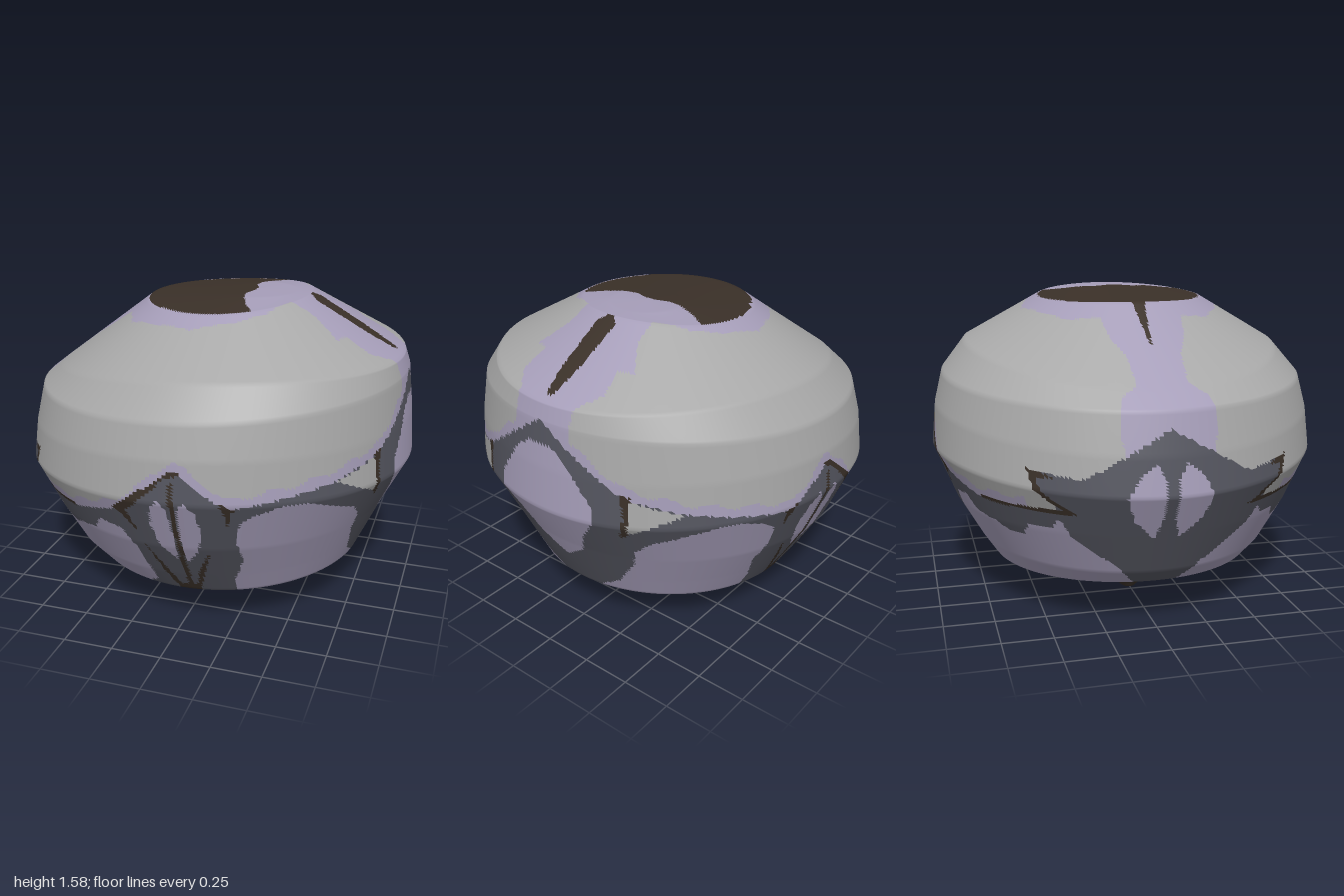
import * as THREE from 'three';

const mat = (name, color) => {
  const m = new THREE.MeshStandardMaterial({ color });
  m.name = name;
  return m;
};
const grey = mat('light grey', 0xa8a8a8);
const lavender = mat('lavender', 0xa59db8);
const slate = mat('slate', 0x54555f);
const brown = mat('dark brown', 0x3a3028);

// Tilted rings from bottom to top: [xLeft, yLeft, xRight, yRight, zHalf, ySide]
const RINGS = [
  [-0.185, 0, -0.185, 0, 0, 0],
  [-0.22, 0, -0.15, 0, 0.035, 0],
  [-0.24, 0.03, -0.13, 0.025, 0.06, 0.02],
  [-0.4, 0.1, 0.4, 0.09, 0.4, 0.085],
  [-0.7, 0.22, 0.75, 0.25, 0.69, 0.21],
  [-0.79, 0.3, 0.8, 0.36, 0.765, 0.33],
  [-0.9, 0.52, 0.885, 0.55, 0.88, 0.53],
  [-1, 0.72, 1, 0.78, 0.99, 0.8],
  [-0.975, 0.9, 0.985, 1.0, 0.97, 1.0],
  [-0.93, 1.1, 0.96, 1.22, 0.93, 1.16],
  [-0.84, 1.17, 0.935, 1.3, 0.81, 1.31],
  [-0.37, 1.525, 0.46, 1.57, 0.43, 1.53],
  [0.03, 1.56, 0.38, 1.573, 0.18, 1.57],
  [0.2, 1.575, 0.2, 1.575, 0, 1.575],
];

// Seam between the upper shell and the lower shell: [degrees from +x, height]
const SEAM = [[0, 1.23], [25, 0.94], [42, 0.87], [72, 0.79], [86, 0.96], [102, 0.73],
  [121, 0.64], [149, 0.64], [150, 0.78], [158, 0.81], [180, 1.02]];

function seamHeight(a) {
  let i = 0;
  while (i < SEAM.length - 2 && a > SEAM[i + 1][0]) i++;
  const [a0, y0] = SEAM[i], [a1, y1] = SEAM[i + 1];
  return y0 + (y1 - y0) * (a - a0) / (a1 - a0);
}

function inside(u, v, poly) {
  let hit = false;
  for (let i = 0, j = poly.length - 1; i < poly.length; j = i++) {
    const [x1, y1] = poly[i], [x2, y2] = poly[j];
    if ((y1 > v) !== (y2 > v) && u < (x2 - x1) * (v - y1) / (y2 - y1) + x1) hit = !hit;
  }
  return hit;
}

// Each layer is one part; later layers cover earlier ones. All mirror across z.
const layers = [];
const part = (name, material, test) => layers.push({ name, material, test });
const around = (name, m, poly) => part(name, m, p => inside(p.a, p.y, poly));
const front = (name, m, poly) => part(name, m, p => inside(p.x, p.y, poly));
const leftSide = (name, m, poly) => part(name, m, p => p.x > 0 && inside(p.z, p.y, poly));
const rightSide = (name, m, poly) => part(name, m, p => p.x < 0 && inside(p.z, p.y, poly));
const above = (name, m, poly) => part(name, m, p => p.y > p.seam && inside(p.x, p.z, poly));
const below = (name, m, poly) => part(name, m, p => p.y < 0.22 && inside(p.x, p.z, poly));

// Half of a crescent: an outer arc closed by a bitten inner edge
function crescent(cx, r, from, to, bite) {
  const pts = [];
  for (let i = 0; i <= 30; i++) {
    const a = (from + (to - from) * i / 30) * Math.PI / 180;
    pts.push([cx + r * Math.cos(a), r * Math.sin(a)]);
  }
  pts[0][1] = Math.abs(pts[0][1]) < 1e-6 ? -0.02 : pts[0][1];
  return pts.concat(bite);
}

function defineParts() {
  part('lowerShell', slate, () => true);
  part('upperShell', grey, p => p.y > p.seam);
  part('seamHalo', lavender, p => p.y > p.seam && p.a < 140
    && p.y < p.seam + 0.05 + 0.012 * Math.sin(p.a * 0.55));
  above('topHalo', lavender, [[-1.1, -0.1], [-1.1, 0.1], [-0.93, 0.22], [-0.85, 0.2], [-0.8, 0.12],
    [-0.65, 0.13], [-0.55, 0.18], [-0.42, 0.2], [-0.36, 0.35], [-0.2, 0.45], [0, 0.52], [0.2, 0.46],
    [0.32, 0.36], [0.4, 0.2], [0.52, 0.21], [0.6, 0.26], [0.65, 0.3], [0.68, 0.22], [0.8, 0.25],
    [0.9, 0.17], [1.1, 0.14], [1.1, -0.1]]);

  // Top crescent and its two spikes
  above('topCrescent', brown, crescent(0.05, 0.42, 180, 61,
    [[0.2, 0.28], [0.16, 0.17], [0.15, 0.1], [0.18, 0.03], [0.18, -0.02]]));
  above('topSpikeRight', brown, [[-0.34, -0.05], [-0.34, 0.05], [-0.38, 0.03], [-0.6, 0.004], [-0.6, -0.05]]);
  above('topSpikeLeft', brown, [[0.46, -0.05], [0.46, 0.015], [0.5, 0.055], [0.75, 0.045], [0.89, 0.018],
    [0.91, -0.05]]);

  // Large side panels
  around('leftPanel', lavender, [[27, 0.6], [32, 0.68], [43, 0.75], [50, 0.79], [57, 0.795], [64, 0.75],
    [68, 0.7], [69, 0.6], [66, 0.45], [68, 0.3], [67, 0.2], [59, 0.1], [55, 0.03], [12, 0.03], [9, 0.1],
    [6, 0.22], [19, 0.33], [26, 0.5]]);
  around('rightPanel', lavender, [[149, 0.6], [146, 0.54], [139, 0.55], [135, 0.48], [130, 0.48],
    [124, 0.52], [116, 0.54], [112, 0.62], [104, 0.6], [101, 0.5], [99, 0.25], [105, 0.2], [116, 0.1],
    [120, -0.02], [172, -0.02], [172, 0.2], [166, 0.33], [158, 0.42], [152, 0.5]]);

  // Left diamond window and the pale teeth beside it
  leftSide('diamondWindow', lavender, [[-0.1, 1.11], [0.07, 1.11], [0.13, 1.07], [0.18, 1.01], [0.28, 0.87],
    [0.285, 0.78], [0.2, 0.67], [0.14, 0.54], [0, 0.43], [-0.1, 0.43]]);
  leftSide('paleTooth', grey, [[0.66, 0.865], [0.44, 0.93], [0.42, 0.74], [0.5, 0.78]]);
  leftSide('toothEdge', brown, [[0.45, 0.945], [0.41, 0.95], [0.425, 0.83], [0.39, 0.71], [0.43, 0.74],
    [0.45, 0.85]]);

  // Right diamond with two lobes and its dark tooth
  rightSide('smallLobe', lavender, [[0.03, 0.8], [0.07, 0.87], [0.14, 0.82], [0.2, 0.72], [0.16, 0.6],
    [0.06, 0.5], [0.03, 0.6]]);
  front('darkTooth', slate, [[-0.92, 0.8], [-0.77, 0.835], [-0.84, 0.64], [-0.92, 0.62]]);
  front('darkToothEdge', brown, [[-0.86, 0.805], [-0.765, 0.84], [-0.835, 0.645], [-0.5, 0.65],
    [-0.5, 0.632], [-0.86, 0.625], [-0.8, 0.8]]);

  // Front and back fins: lobes, ridges and slits
  front('finLobeRight', lavender, [[0, 0.82], [-0.045, 0.76], [-0.055, 0.66], [-0.03, 0.54], [0.04, 0.44],
    [0.045, 0.6], [0.04, 0.77]]);
  front('finLobeLeft', lavender, [[0.12, 0.82], [0.165, 0.76], [0.18, 0.64], [0.15, 0.52], [0.085, 0.43],
    [0.075, 0.6], [0.085, 0.77]]);
  front('finRidge', brown, [[0.05, 0.9], [0.07, 0.9], [0.075, 0.7], [0.075, 0.25], [0.05, 0.25], [0.055, 0.6]]);
  front('finEdgeRight', brown, [[-0.24, 0.73], [0.04, 0.95], [0.1, 0.96], [0.08, 0.935], [0.03, 0.92],
    [-0.17, 0.73], [-0.13, 0.61], [-0.19, 0.69]]);
  front('finEdgeLeft', brown, [[0.27, 0.83], [0.34, 0.785], [0.32, 0.77], [0.3, 0.68], [0.29, 0.78]]);
  front('finSlitRight', brown, [[-0.11, 0.53], [-0.05, 0.4], [0.03, 0.2], [0, 0.2], [-0.06, 0.36]]);
  front('finSlitLeft', brown, [[0.21, 0.53], [0.15, 0.36], [0.1, 0.2], [0.08, 0.2], [0.13, 0.38]]);

  // Bottom crescent, its arms and the small tip
  front('frontArm', brown, [[0.02, 0.25], [0.09, 0.25], [0.11, 0.15], [0.25, 0.08], [-0.1, 0.06], [0.02, 0.13]]);
  leftSide('leftArm', brown, [[-0.1, 0.22], [0.03, 0.215], [0.07, 0.12], [0.08, 0.04], [-0.1, 0.04]]);
  below('bottomCrescent', brown, crescent(0, 0.41, 0, 118,
    [[-0.1, 0.25], [-0.05, 0.12], [-0.12, 0.05], [-0.12, -0.02]]));
  below('rightArm', brown, [[-0.1, -0.1], [-0.1, 0.06], [-0.25, 0.07], [-0.5, 0.01], [-0.5, -0.1]]);
  below('tip', lavender, [[-0.22, -0.1], [-0.22, 0.012], [-0.185, 0.035], [-0.15, 0.012], [-0.15, -0.1]]);
}

// Point on a ring; the cosine weights bend the ring through its left, right and side heights
function ringPoint([xl, yl, xr, yr, z, yz], a) {
  const c = Math.cos(a), s = Math.sin(a);
  return [(xl + xr) / 2 + (xr - xl) / 2 * c,
    (yl + yr) / 2 * c * c + yz * s * s + (yr - yl) / 2 * c, z * s];
}

export function createModel() {
  layers.length = 0;
  defineParts();
  const group = new THREE.Group();
  group.name = 'model';

  // Fine rows between the rings
  const rows = [];
  RINGS.slice(0, -1).forEach((r, k) => {
    const q = RINGS[k + 1];
    const n = Math.max(2, Math.round(Math.hypot(q[4] - r[4], q[5] - r[5]) / 0.0155));
    for (let i = 0; i < n; i++) rows.push(r.map((v, j) => v + (q[j] - v) * i / n));
  });
  rows.push(RINGS[RINGS.length - 1]);

  const N = 320, pos = [], index = [];
  for (const r of rows) for (let i = 0; i < N; i++) pos.push(...ringPoint(r, i / N * Math.PI * 2));
  for (let j = 0; j < rows.length - 1; j++) for (let i = 0; i < N; i++) {
    const a = j * N + i, b = j * N + (i + 1) % N;
    if (j < rows.length - 2) index.push(a, a + N, b + N);
    if (j > 0) index.push(a, b + N, b);
  }
  const shell = new THREE.BufferGeometry();
  shell.setAttribute('position', new THREE.Float32BufferAttribute(pos, 3));
  shell.setIndex(index);
  shell.computeVertexNormals();
  const nor = shell.attributes.normal.array;

  // Give every face to the topmost part that covers it
  const faces = layers.map(() => []);
  for (let f = 0; f < index.length; f += 3) {
    const mid = k => (pos[index[f] * 3 + k] + pos[index[f + 1] * 3 + k] + pos[index[f + 2] * 3 + k]) / 3;
    const p = { x: mid(0), y: mid(1), z: Math.abs(mid(2)) };
    p.a = Math.atan2(p.z, p.x) * 180 / Math.PI;
    p.seam = seamHeight(p.a);
    let k = layers.length - 1;
    while (!layers[k].test(p)) k--;
    faces[k].push(index[f], index[f + 1], index[f + 2]);
  }
  layers.forEach(({ name, material }, k) => {
    if (!faces[k].length) return;
    const map = new Map(), P = [], Q = [];
    const idx = faces[k].map(v => {
      if (!map.has(v)) {
        map.set(v, map.size);
        for (let c = 0; c < 3; c++) { P.push(pos[v * 3 + c]); Q.push(nor[v * 3 + c]); }
      }
      return map.get(v);
    });
    const g = new THREE.BufferGeometry();
    g.setAttribute('position', new THREE.Float32BufferAttribute(P, 3));
    g.setAttribute('normal', new THREE.Float32BufferAttribute(Q, 3));
    g.setIndex(idx);
    const mesh = new THREE.Mesh(g, material);
    mesh.name = name;
    group.add(mesh);
  });
  return group;
}
